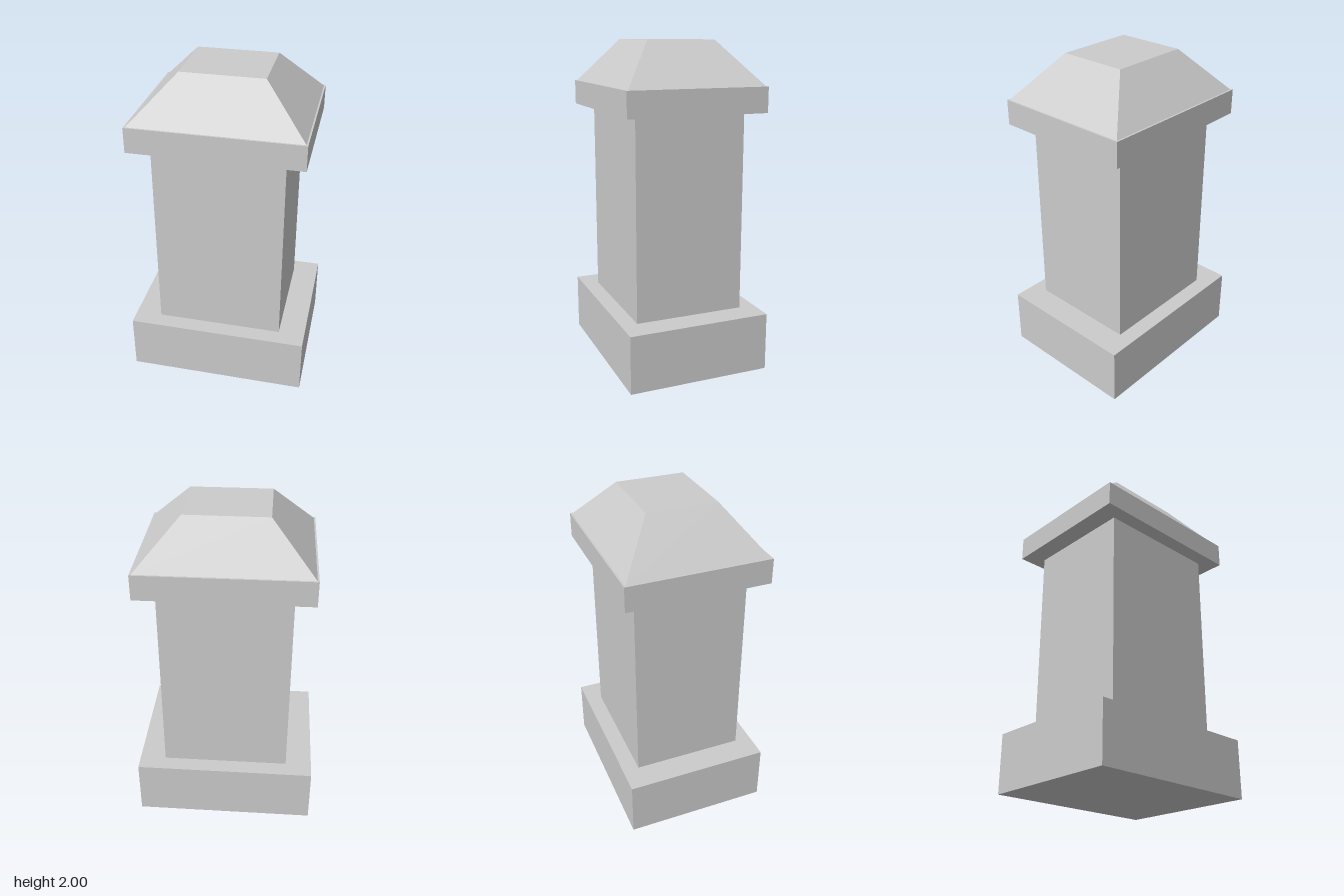
import * as THREE from 'three';

// Four-sided block from y0 to y1; the top may be narrower than the bottom.
function block(name, y0, y1, width, depth, topWidth = width, topDepth = depth) {
  const geometry = new THREE.BoxGeometry(width, y1 - y0, depth);
  const p = geometry.attributes.position;
  for (let i = 0; i < p.count; i++) {
    if (p.getY(i) > 0) {
      p.setX(i, Math.sign(p.getX(i)) * topWidth / 2);
      p.setZ(i, Math.sign(p.getZ(i)) * topDepth / 2);
    }
  }
  geometry.computeVertexNormals();
  const material = new THREE.MeshStandardMaterial({ color: 0xcccccc, flatShading: true });
  const mesh = new THREE.Mesh(geometry, material);
  mesh.name = name;
  mesh.position.y = (y0 + y1) / 2;
  return mesh;
}

export function createModel() {
  const pillar = new THREE.Group();
  pillar.name = 'pillar';
  pillar.add(
    block('base', 0, 0.358, 1.108, 0.886),
    block('shaft', 0.358, 1.585, 0.782, 0.684),
    block('capSlab', 1.585, 1.737, 1.02, 0.864),
    // Sloping cap with a flat top
    block('slopedCap', 1.737, 2, 1.0, 0.842, 0.49, 0.422),
  );
  return pillar;
}
